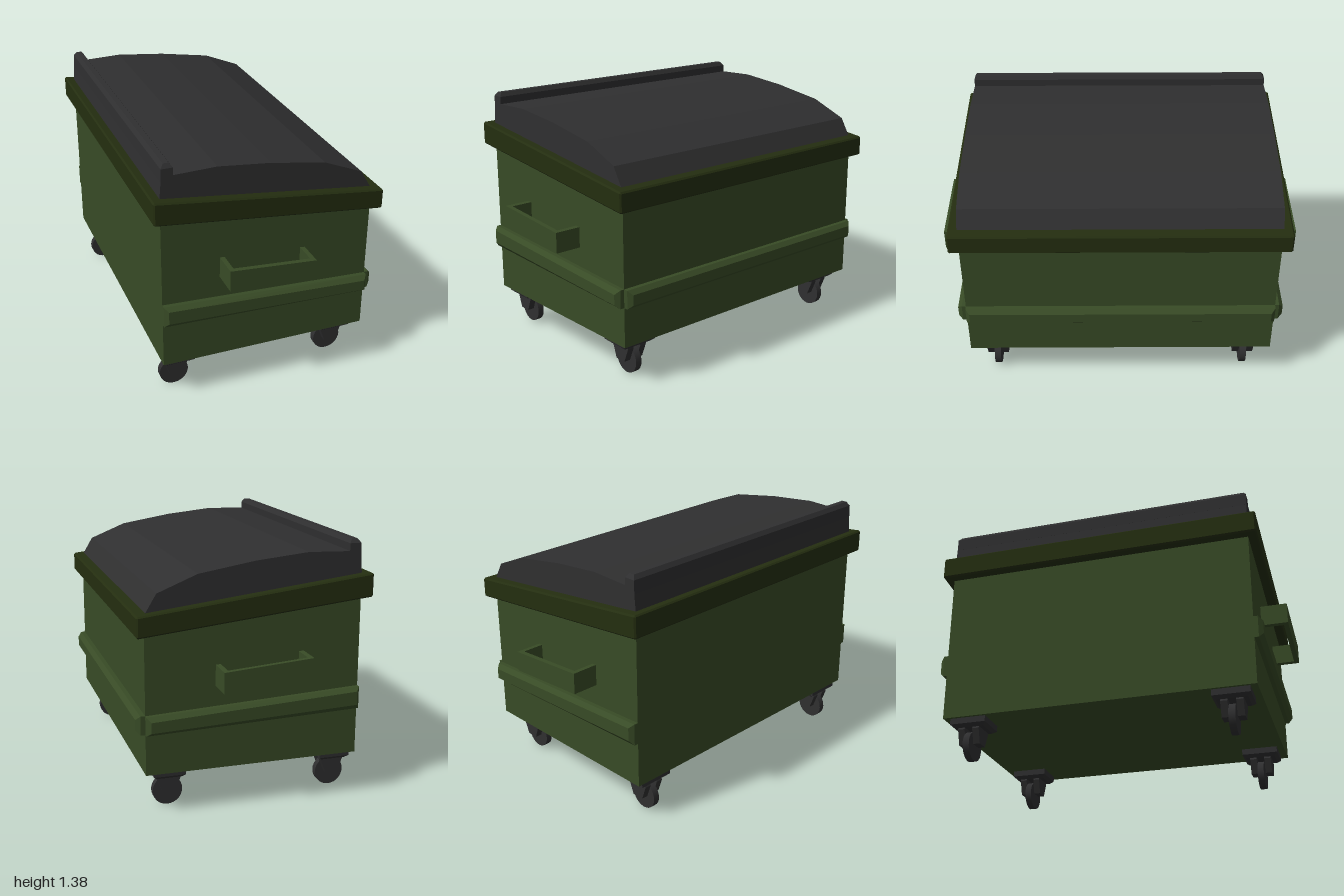
import * as THREE from 'three';
import { ConvexGeometry } from 'three/addons/geometries/ConvexGeometry.js';

const flat = (name, color) => {
  const m = new THREE.MeshStandardMaterial({ color });
  m.name = name;
  return m;
};

export function createModel() {
  const green = flat('bin green', 0x384b26);
  const darkGreen = flat('dark rim green', 0x242e10);
  const charcoal = flat('charcoal plastic', 0x2f2f30);
  const root = new THREE.Group();
  root.name = 'wheeledContainer';

  const add = (name, geometry, material, parent = root) => {
    const mesh = new THREE.Mesh(geometry, material);
    mesh.name = name;
    parent.add(mesh);
    return mesh;
  };
  // Flat-faced solid around a few corner points
  const hull = (pts) => new ConvexGeometry(pts.map((p) => new THREE.Vector3(...p)));
  // Prism: an x/y outline spread over z0..z1
  const prism = (outline, z0, z1) => hull(outline.flatMap(([x, y]) => [[x, y, z0], [x, y, z1]]));
  // Box whose top and bottom slope along x: top(x), bottom(x)
  const slopedBox = (x0, x1, bottom, top, z0, z1) =>
    prism([[x0, bottom(x0)], [x1, bottom(x1)], [x1, top(x1)], [x0, top(x0)]], z0, z1);

  // Body with a sloping top hidden under the rim
  add('body', slopedBox(-0.575, 0.575, () => 0.225, (x) => 1.1 - 0.11 * x, -0.855, 0.855), green);

  // Sloping rim with small chamfers on every edge
  const rimTop = (x) => 1.1375 - 0.117 * x;
  const rimBottom = (x) => 1.02 - 0.105 * x;
  const rimPoints = [];
  const c = 0.008;
  for (const sx of [-1, 1]) for (const sz of [-1, 1]) for (const up of [-1, 1]) {
    for (const [dx, dy, dz] of [[0, c, c], [c, 0, c], [c, c, 0]]) {
      const x = sx * (0.622 - dx);
      const y = up > 0 ? rimTop(x) - dy : rimBottom(x) + dy;
      rimPoints.push([x, y, sz * (0.905 - dz)]);
    }
  }
  add('rim', hull(rimPoints), darkGreen);

  // Domed lid
  const lidOutline = [[-0.575, 1.18], [0.57, 1.04], [0.57, 1.065], [0.51, 1.165], [0.3, 1.25],
    [0, 1.299], [-0.28, 1.327], [-0.505, 1.32], [-0.566, 1.31], [-0.575, 1.205]];
  add('lid', prism(lidOutline, -0.855, 0.855), charcoal);

  // Raised hinge rail along the back edge of the lid
  const railPoints = [];
  for (const s of [-1, 1]) {
    for (const [x, y] of [[-0.568, 1.29], [-0.505, 1.29], [-0.566, 1.36], [-0.505, 1.36]])
      railPoints.push([x, y, s * 0.855]);
    for (const x of [-0.55, -0.52]) railPoints.push([x, 1.382, s * 0.84]);
  }
  add('lidRail', hull(railPoints), charcoal);

  // Bevelled belt and lift handle on both ends
  for (const s of [-1, 1]) {
    const belt = [];
    for (const [x, y] of [[-0.575, 0.48], [-0.575, 0.6], [0.575, 0.445], [0.575, 0.545]])
      belt.push([x, y, s * 0.85], [x, y, s * 0.878]);
    for (const [x, y] of [[-0.555, 0.507], [-0.555, 0.58], [0.555, 0.465], [0.555, 0.522]])
      belt.push([x, y, s * 0.902]);
    add('sideBelt', hull(belt), green);

    const handle = new THREE.Group();
    handle.name = 'handle';
    root.add(handle);
    const top = (x) => 0.796 - 0.075 * x;
    const bottom = (x) => 0.683 - 0.067 * x;
    add('handleBar', slopedBox(-0.265, 0.208, bottom, top, s * 0.974, s), green, handle);
    for (const x of [-0.265, 0.182])
      add('handlePost', slopedBox(x, x + 0.026, bottom, top, s * 0.85, s * 0.974), green, handle);
  }

  // Bevelled belt across the low long side
  const longBelt = [];
  for (const s of [-1, 1]) {
    for (const y of [0.445, 0.545]) longBelt.push([0.57, y, s * 0.855], [0.6, y, s * 0.855]);
    for (const y of [0.466, 0.522]) longBelt.push([0.622, y, s * 0.833]);
  }
  add('longBelt', hull(longBelt), green);

  // Four casters: bevelled plate, two fork cheeks and a wheel
  for (const px of [-0.475, 0.44]) for (const pz of [-0.717, 0.717]) {
    const caster = new THREE.Group();
    caster.name = 'caster';
    caster.position.set(px, 0, pz);
    root.add(caster);
    const plate = [];
    for (const sx of [-1, 1]) for (const sz of [-1, 1]) {
      plate.push([sx * 0.085, 0.228, sz * 0.101], [sx * 0.085, 0.192, sz * 0.101],
        [sx * 0.066, 0.176, sz * 0.083]);
    }
    add('casterPlate', hull(plate), charcoal, caster);
    for (const s of [-1, 1]) {
      const cheek = [[-0.06, 0.18], [0.06, 0.18], [0.06, 0.165], [0.028, 0.085],
        [-0.038, 0.085], [-0.066, 0.165]];
      add('forkCheek', prism(cheek, s * 0.022, s * 0.06), charcoal, caster);
    }
    const wheel = new THREE.CylinderGeometry(0.08, 0.08, 0.036, 28).rotateX(Math.PI / 2);
    add('wheel', wheel, charcoal, caster).position.set(-0.006, 0.081, 0);
  }
  return root;
}
